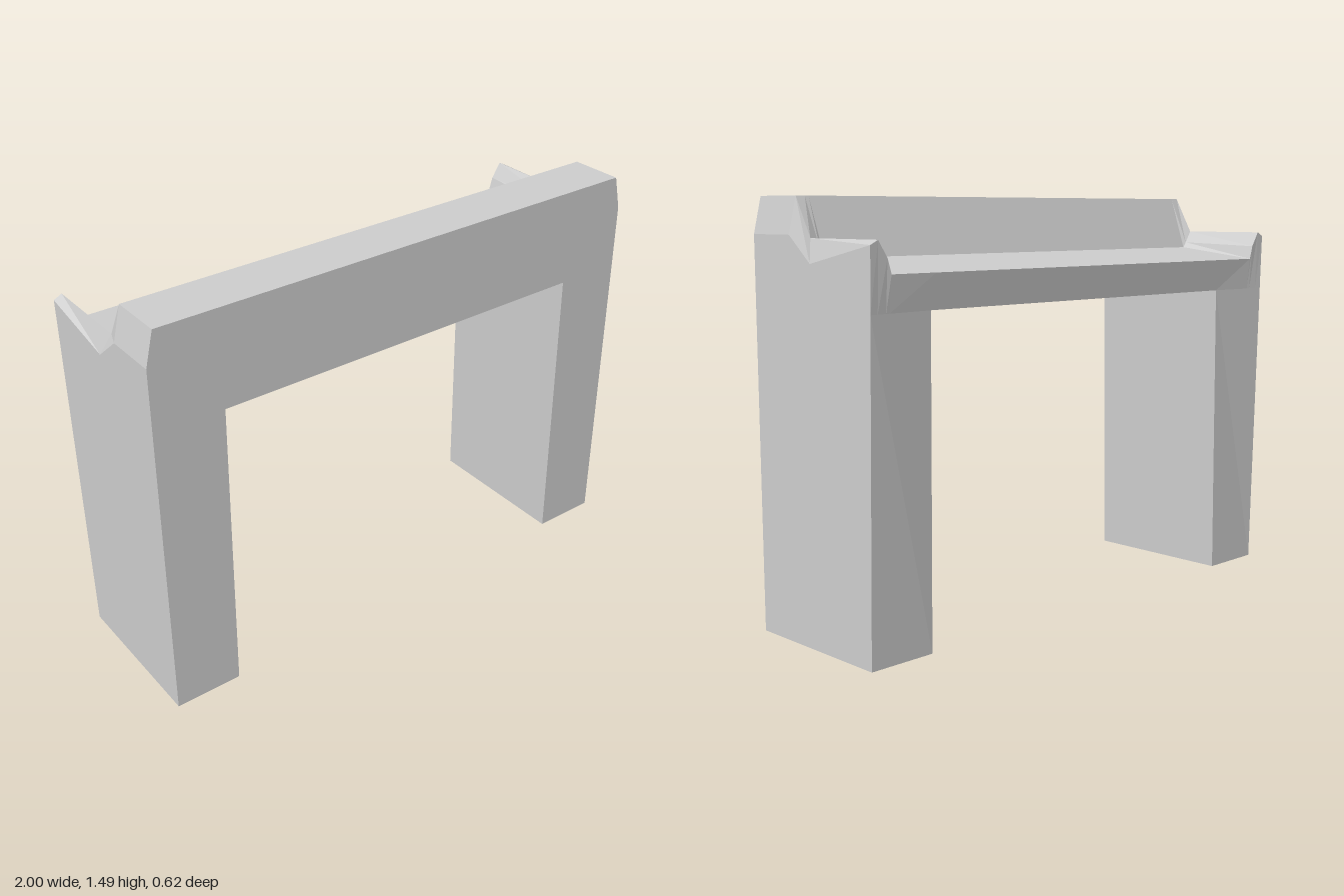
import * as THREE from 'three';

const material = new THREE.MeshStandardMaterial({ color: 0xcccccc, flatShading: true });
const Y_BEAM = 1.125; // underside of the beam, top of the legs
const INNER = 0.74; // inner face of the legs at the top

// Back plane leans outwards towards the outer corners
const backZ = (x) => -0.28 - 0.025 * Math.max(0, (Math.abs(x) - INNER) / (1 - INNER));

function makeMesh(name, triangles) {
  const geometry = new THREE.BufferGeometry();
  geometry.setAttribute('position', new THREE.Float32BufferAttribute(triangles.flat(), 3));
  geometry.computeVertexNormals();
  const mesh = new THREE.Mesh(geometry, material);
  mesh.name = name;
  return mesh;
}

const quad = (out, a, b, c, d) => out.push(a, b, c, a, c, d);

// Joins successive closed loops of points; keep(i, j) can drop a strip
function loft(sections, keep = () => true) {
  const out = [];
  for (let i = 0; i < sections.length - 1; i++) {
    const s = sections[i], t = sections[i + 1], n = s.length;
    for (let j = 0; j < n; j++) {
      const k = (j + 1) % n;
      if (keep(i, j)) quad(out, s[j], t[j], t[k], s[k]);
    }
  }
  return out;
}

// Tapered leg, side = 1 for left and -1 for right
function createLeg(side) {
  const loop = (inner, y, zIn, zOut) => {
    const left = side > 0;
    const hi = left ? 1 : -inner, lo = left ? inner : -1;
    return [[hi, y, 0.31], [lo, y, 0.31], [lo, y, left ? zIn : zOut], [hi, y, left ? zOut : zIn]];
  };
  const bottom = loop(0.75, 0, -0.28, -0.28);
  const top = loop(INNER, Y_BEAM, backZ(INNER), backZ(1));
  const triangles = loft([bottom, top]);
  quad(triangles, ...bottom);
  return makeMesh(side > 0 ? 'leftLeg' : 'rightLeg', triangles);
}

// Beam with a raised front ledge, a sloping shelf behind it and rims at the ends
function createBeam() {
  // x, ledge height, shelf front z and y, shelf back y
  const stations = [
    [INNER, 1.485, 0.03, 1.285, 1.245],
    [0.92, 1.485, 0.03, 1.285, 1.245],
    [0.935, 1.485, 0.03, 1.305, 1.295],
    [0.97, 1.485, 0.035, 1.35, 1.35],
    [1, 1.36, 0, 1.27, 1.335],
  ];
  const mirrored = stations.map(([x, ...rest]) => [-x, ...rest]).reverse();
  const sections = [...mirrored, ...stations].map(([x, ledge, z, front, back]) => [
    [x, Y_BEAM, 0.31], [x, ledge, 0.31], [x, ledge, 0.11],
    [x, front, z], [x, back, -0.31], [x, Y_BEAM, backZ(x)],
  ]);
  // The underside shows only between the legs
  const middle = stations.length - 1;
  const triangles = loft(sections, (i, j) => j !== 5 || i === middle);
  // End faces, fanned from the notch
  const first = sections[0], last = sections[sections.length - 1];
  for (const [a, b] of [[4, 5], [5, 0], [0, 1], [1, 2]]) {
    triangles.push(first[3], first[a], first[b]);
    triangles.push(last[3], last[b], last[a]);
  }
  return makeMesh('topBeam', triangles);
}

export function createModel() {
  const group = new THREE.Group();
  group.name = 'portalFrame';
  group.add(createBeam(), createLeg(1), createLeg(-1));
  return group;
}
